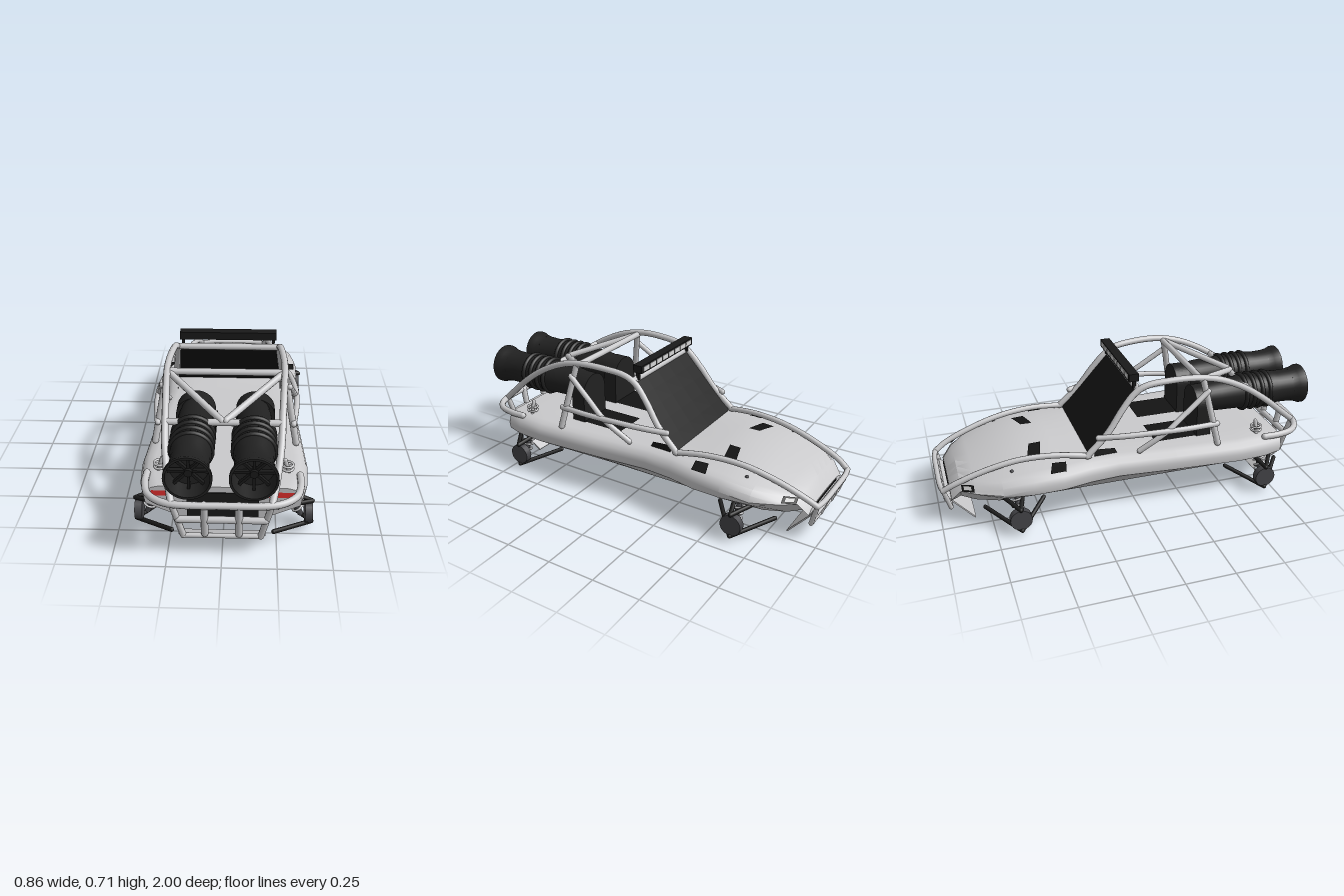
import * as THREE from 'three';
import { mergeGeometries, toCreasedNormals } from 'three/addons/utils/BufferGeometryUtils.js';

const mat = (name, color, side = THREE.FrontSide) => {
  const m = new THREE.MeshStandardMaterial({ color, side });
  m.name = name;
  return m;
};
const V = (a) => new THREE.Vector3(...a);

// hull stations: z, half width, crown height, edge height, bottom height, bottom half width
const STATIONS = [
  [0.80, 0.362, 0.300, 0.300, 0.130, 0.19],
  [0.70, 0.390, 0.305, 0.305, 0.10, 0.20],
  [0.55, 0.400, 0.305, 0.305, 0.08, 0.20],
  [0.20, 0.378, 0.305, 0.305, 0.08, 0.20],
  [-0.10, 0.352, 0.305, 0.305, 0.08, 0.20],
  [-0.25, 0.362, 0.315, 0.305, 0.08, 0.20],
  [-0.40, 0.390, 0.338, 0.305, 0.08, 0.20],
  [-0.55, 0.394, 0.338, 0.300, 0.08, 0.20],
  [-0.70, 0.375, 0.310, 0.280, 0.085, 0.20],
  [-0.82, 0.305, 0.268, 0.248, 0.11, 0.19],
  [-0.89, 0.245, 0.242, 0.230, 0.14, 0.18],
  [-0.94, 0.220, 0.177, 0.172, 0.14, 0.17],
];

function hullAt(z) {
  let i = 0;
  while (i < STATIONS.length - 2 && z < STATIONS[i + 1][0]) i++;
  const a = STATIONS[i], b = STATIONS[i + 1], t = (z - a[0]) / (b[0] - a[0]);
  return a.map((v, k) => v + (b[k] - v) * t);
}
function deckY(x, z) {
  const [, w, c, e] = hullAt(z);
  const t = Math.abs(x) / (w - 0.07);
  return t <= 1 ? c - (c - e) * t * t : e - (Math.abs(x) - w + 0.07) * 0.15;
}

function hullGeometry() {
  const pos = [], idx = [];
  let n = 0;
  for (const [z, w, c, e, yb, b] of STATIONS) {
    const k = w - 0.07, crown = (t) => [k * t, c - (c - e) * t * t];
    const low = Math.min(0.205, e - 0.03), mid = Math.max(e - 0.06, low + 0.006);
    const half = [[b, yb], [w - 0.006, low], [w, mid], [w - 0.012, Math.max(e - 0.028, mid + 0.002)],
      [w - 0.036, e - 0.008], crown(1), crown(0.66), crown(0.33)];
    const ring = [...half, [0, c], ...half.slice().reverse().map(([x, y]) => [-x, y])];
    n = ring.length;
    ring.forEach(([x, y]) => pos.push(x, y, z));
  }
  const last = STATIONS.length - 1;
  for (let i = 0; i < last; i++) for (let j = 0; j < n; j++) {
    const a = i * n + j, b = i * n + (j + 1) % n;
    idx.push(a, a + n, b, b, a + n, b + n);
  }
  // end caps
  [[0, 0.8, 0.24], [last, -0.94, 0.155]].forEach(([i, z, y]) => {
    const c = pos.length / 3;
    pos.push(0, y, z);
    for (let j = 0; j < n; j++) {
      const a = i * n + j, b = i * n + (j + 1) % n;
      idx.push(c, i ? b : a, i ? a : b);
    }
  });
  const g = new THREE.BufferGeometry();
  g.setAttribute('position', new THREE.Float32BufferAttribute(pos, 3));
  g.setIndex(idx);
  return toCreasedNormals(g, 0.56);
}

// four-cornered sheet; lift, if given, sets the height from x and z
function sheet([p, q, r, s], lift) {
  const g = new THREE.PlaneGeometry(1, 1, 5, 5), a = g.attributes.position;
  for (let i = 0; i < a.count; i++) {
    const u = a.getX(i) + 0.5, v = a.getY(i) + 0.5;
    const o = V(p).lerp(V(q), u).lerp(V(s).lerp(V(r), u), v);
    a.setXYZ(i, o.x, lift ? lift(o.x, o.z) : o.y, o.z);
  }
  g.computeVertexNormals();
  return g;
}

// round bar through points with rounded ends
function bar(points, r = 0.017) {
  const p = points.map(V);
  const curve = p.length === 2 ? new THREE.LineCurve3(...p) : new THREE.CatmullRomCurve3(p, false, 'centripetal');
  const ends = [p[0], p[p.length - 1]].map((e) => new THREE.SphereGeometry(r, 10, 6).translate(e.x, e.y, e.z));
  return mergeGeometries([new THREE.TubeGeometry(curve, p.length === 2 ? 1 : p.length * 6, r, 10), ...ends]);
}

function coil(from, to, r, turns, wire) {
  const a = V(from), b = V(to), d = b.clone().sub(a).normalize();
  const u = new THREE.Vector3(0, 0, 1).cross(d).normalize(), v = d.clone().cross(u);
  const pts = [];
  for (let i = 0; i <= turns * 10; i++) {
    const t = i / (turns * 10), w = t * turns * Math.PI * 2;
    pts.push(a.clone().lerp(b, t).addScaledVector(u, r * Math.cos(w)).addScaledVector(v, r * Math.sin(w)));
  }
  return new THREE.TubeGeometry(new THREE.CatmullRomCurve3(pts), turns * 14, wire, 6);
}

// engine intake housing with an arched top
function intakeGeometry() {
  const s = new THREE.Shape();
  s.moveTo(-0.095, 0.302);
  s.lineTo(0.095, 0.302);
  s.lineTo(0.095, 0.46);
  s.absellipse(0, 0.46, 0.095, 0.095, 0, Math.PI, false);
  s.closePath();
  return new THREE.ExtrudeGeometry(s, { depth: 0.08, bevelEnabled: false, curveSegments: 16 });
}

export function createModel() {
  const model = new THREE.Group();
  const paint = mat('light grey paint', 0xcacacc);
  const glass = mat('black glass', 0x141414, THREE.DoubleSide), engineBlack = mat('engine black', 0x212121);
  const armBlack = mat('arm black', 0x1a1a1a), hubGrey = mat('hub grey', 0x454549);
  const red = mat('lamp red', 0xe6302f, THREE.DoubleSide), lens = mat('lens white', 0xd6d6d6, THREE.DoubleSide);
  const add = (name, geo, m) => {
    const o = new THREE.Mesh(geo, m);
    o.name = name;
    model.add(o);
    return o;
  };
  const box = (w, h, d, x, y, z) => new THREE.BoxGeometry(w, h, d).translate(x, y, z);

  add('hull', hullGeometry(), paint);
  const onDeck = (x, z) => deckY(x, z) + 0.005;
  add('windshield', sheet([[-0.302, 0.315, -0.245], [0.302, 0.315, -0.245], [0.255, 0.63, 0.015], [-0.255, 0.63, 0.015]]), glass);
  add('tailGrille', box(0.33, 0.132, 0.006, 0, 0.204, 0.803), armBlack);
  add('noseSlot', box(0.28, 0.008, 0.006, 0, 0.166, -0.942), armBlack);
  // sloping skid plates: width, lower edge and upper edge as y, z
  [[0.395, 0.006, 0.74, 0.105, 0.89], [0.39, 0.006, -0.83, 0.16, -0.965]].forEach(([w, y0, z0, y1, z1]) =>
    add('skidPlate', new THREE.BoxGeometry(w, 0.007, Math.hypot(y1 - y0, z1 - z0))
      .rotateX(-Math.atan2(y1 - y0, z1 - z0)).translate(0, (y0 + y1) / 2, (z0 + z1) / 2), paint));

  // roof light bar
  add('lightBar', box(0.5, 0.04, 0.05, 0, 0.696, 0), armBlack);
  for (let i = 0; i < 8; i++) add('lightBarLens', box(0.05, 0.024, 0.006, (i - 3.5) * 0.059, 0.697, -0.025), lens);

  for (const s of [1, -1]) {
    const P = (...pts) => pts.map(([x, y, z]) => [x * s, y, z]);
    add('lightBarMount', box(0.014, 0.05, 0.016, 0.235 * s, 0.66, 0.005), armBlack);

    // painted panels
    add('hoodVent', sheet(P([0.11, 0, -0.52], [0.22, 0, -0.55], [0.23, 0, -0.485], [0.107, 0, -0.46]), onDeck), glass);
    add('sideVent', sheet(P([0.295, 0, -0.44], [0.372, 0, -0.465], [0.372, 0, -0.385], [0.3, 0, -0.37]), onDeck), glass);
    add('headlight', sheet(P([0.302, 0.222, -0.83], [0.252, 0.208, -0.887], [0.226, 0.232, -0.887], [0.276, 0.248, -0.83])), glass);
    add('headlightLens', sheet(P([0.295, 0.229, -0.842], [0.261, 0.22, -0.879], [0.244, 0.236, -0.879], [0.278, 0.245, -0.842])), lens);
    add('tailLamp', sheet(P([0.19, 0.25, 0.804], [0.343, 0.25, 0.804], [0.325, 0.279, 0.804], [0.2, 0.279, 0.804])), red);
    add('dashSide', sheet(P([0.29, 0.31, -0.22], [0.285, 0.31, -0.1], [0.28, 0.335, -0.11], [0.282, 0.345, -0.22])), glass);
    add('engineBay', sheet(P([0.05, 0, 0.125], [0.24, 0, 0.125], [0.24, 0, 0.4], [0.05, 0, 0.4]), onDeck), glass);

    // roll cage
    add('mainRail', bar(P([0.222, 0.31, 0.93], [0.24, 0.37, 0.86], [0.262, 0.48, 0.73], [0.27, 0.57, 0.6], [0.279, 0.64, 0.45],
      [0.285, 0.668, 0.32], [0.28, 0.67, 0.18], [0.27, 0.655, 0.06], [0.266, 0.62, 0], [0.275, 0.54, -0.07],
      [0.289, 0.43, -0.15], [0.3, 0.325, -0.26])), paint);
    add('hoodRail', bar(P([0.3, 0.325, -0.25], [0.278, 0.345, -0.42], [0.255, 0.337, -0.6], [0.237, 0.295, -0.77],
      [0.22, 0.235, -0.92], [0.205, 0.2, -0.975]), 0.015), paint);
    add('rearPillar', bar(P([0.285, 0.65, 0.36], [0.348, 0.31, 0.43])), paint);
    add('sideRail', bar(P([0.332, 0.415, 0.43], [0.355, 0.425, 0.25], [0.355, 0.43, 0.08], [0.333, 0.425, -0.08], [0.295, 0.415, -0.2]), 0.015), paint);
    add('sideBrace', bar(P([0.308, 0.595, 0.38], [0.332, 0.5, 0.25], [0.35, 0.42, 0.14], [0.32, 0.32, 0.01]), 0.015), paint);
    add('roofBrace', bar(P([0.28, 0.655, 0.35], [0.01, 0.555, 0.64])), paint);

    // twin engines
    const x = 0.14 * s;
    const profile = [[0, 0.36], [0.07, 0.36], [0.073, 0.42], [0.083, 0.5], [0.087, 0.62], [0.093, 0.64], [0.093, 0.82], [0.087, 0.85],
      [0.089, 0.92], [0.096, 0.96], [0.106, 0.985], [0.106, 1], [0.095, 1], [0.088, 0.91], [0, 0.91]];
    add('engine', toCreasedNormals(new THREE.LatheGeometry(profile.map(([r, z]) => new THREE.Vector2(r, z)), 32)
      .rotateX(Math.PI / 2), 0.6).translate(x, 0.482, 0), engineBlack);
    for (let i = 0; i < 4; i++) add('engineRib', new THREE.TorusGeometry(0.093, 0.012, 8, 32).translate(x, 0.482, 0.645 + i * 0.046), engineBlack);
    for (let i = 0; i < 4; i++) add('fanBlade', box(0.18, 0.012, 0.02, 0, 0, 0).rotateZ(i * Math.PI / 4).translate(x, 0.482, 0.935), armBlack);
    add('fanHub', new THREE.CylinderGeometry(0.018, 0.018, 0.04, 16).rotateX(Math.PI / 2).translate(x, 0.482, 0.94), armBlack);
    add('intakeHousing', intakeGeometry().translate(0.145 * s, 0, 0.356), engineBlack);

    // bumper uprights
    add('bumperSide', bar(P([0.222, 0.305, 0.93], [0.175, 0.105, 0.9]), 0.015), paint);
    add('bumperUpright', bar(P([0.077, 0.305, 0.94], [0.077, 0.125, 0.91]), 0.017), paint);
    add('noseSide', bar(P([0.205, 0.2, -0.975], [0.185, 0.085, -0.945]), 0.012), paint);
    add('noseUpright', bar(P([0.07, 0.2, -0.985], [0.07, 0.085, -0.95]), 0.011), paint);

    // suspension at both axles
    for (const z of [0.69, -0.63]) {
      const d = Math.sign(z);
      add('hub', new THREE.CylinderGeometry(0.055, 0.055, 0.036, 20).rotateZ(Math.PI / 2).translate(0.403 * s, 0.093, z), hubGrey);
      for (const k of [-1, 1]) {
        add('upperArm', bar(P([0.25, 0.195, z + 0.08 * k + 0.03 * d], [0.42, 0.153, z]), 0.011), armBlack);
        add('lowerArm', bar(P([0.235, 0.085, z + 0.15 * k], [0.42, 0.033, z]), 0.011), armBlack);
      }
      add('damper', bar(P([0.3, 0.22, z], [0.365, 0.08, z]), 0.014), hubGrey);
      add('spring', coil(...P([0.31, 0.2, z], [0.36, 0.1, z]), 0.028, 4, 0.006), paint);
    }
    add('shockTop', bar(P([0.305, 0.3, 0.675], [0.285, 0.37, 0.675]), 0.01), paint);
    for (const y of [0.325, 0.345]) add('shockRing', new THREE.TorusGeometry(0.026, 0.006, 8, 20)
      .rotateX(Math.PI / 2).translate(0.297 * s, y, 0.675), paint);
    add('hoodPin', new THREE.SphereGeometry(0.009, 10, 6).translate(0.28 * s, deckY(0.28, -0.64), -0.64), hubGrey);
  }

  // cage cross bars
  const cross = (name, x, y, z, r = 0.017) => add(name, bar([[-x, y, z], [x, y, z]], r), paint);
  cross('roofBar', 0.28, 0.655, 0.35);
  cross('windshieldBar', 0.262, 0.635, 0.02);
  cross('rearRoofBar', 0.265, 0.545, 0.64);
  cross('bumperMiddleBar', 0.195, 0.21, 0.92);
  cross('bumperLowerBar', 0.175, 0.105, 0.9, 0.012);
  cross('noseMiddleBar', 0.195, 0.145, -0.965, 0.012);
  cross('noseLowerBar', 0.185, 0.085, -0.945, 0.012);
  add('noseTopBar', bar([[-0.205, 0.2, -0.975], [-0.15, 0.2, -0.984], [0, 0.2, -0.986], [0.15, 0.2, -0.984], [0.205, 0.2, -0.975]], 0.014), paint);
  add('rearBumper', bar([[-0.355, 0.305, 0.7], [-0.355, 0.305, 0.78], [-0.33, 0.305, 0.87], [-0.25, 0.305, 0.93], [0, 0.305, 0.945],
    [0.25, 0.305, 0.93], [0.33, 0.305, 0.87], [0.355, 0.305, 0.78], [0.355, 0.305, 0.7]]), paint);
  return model;
}
